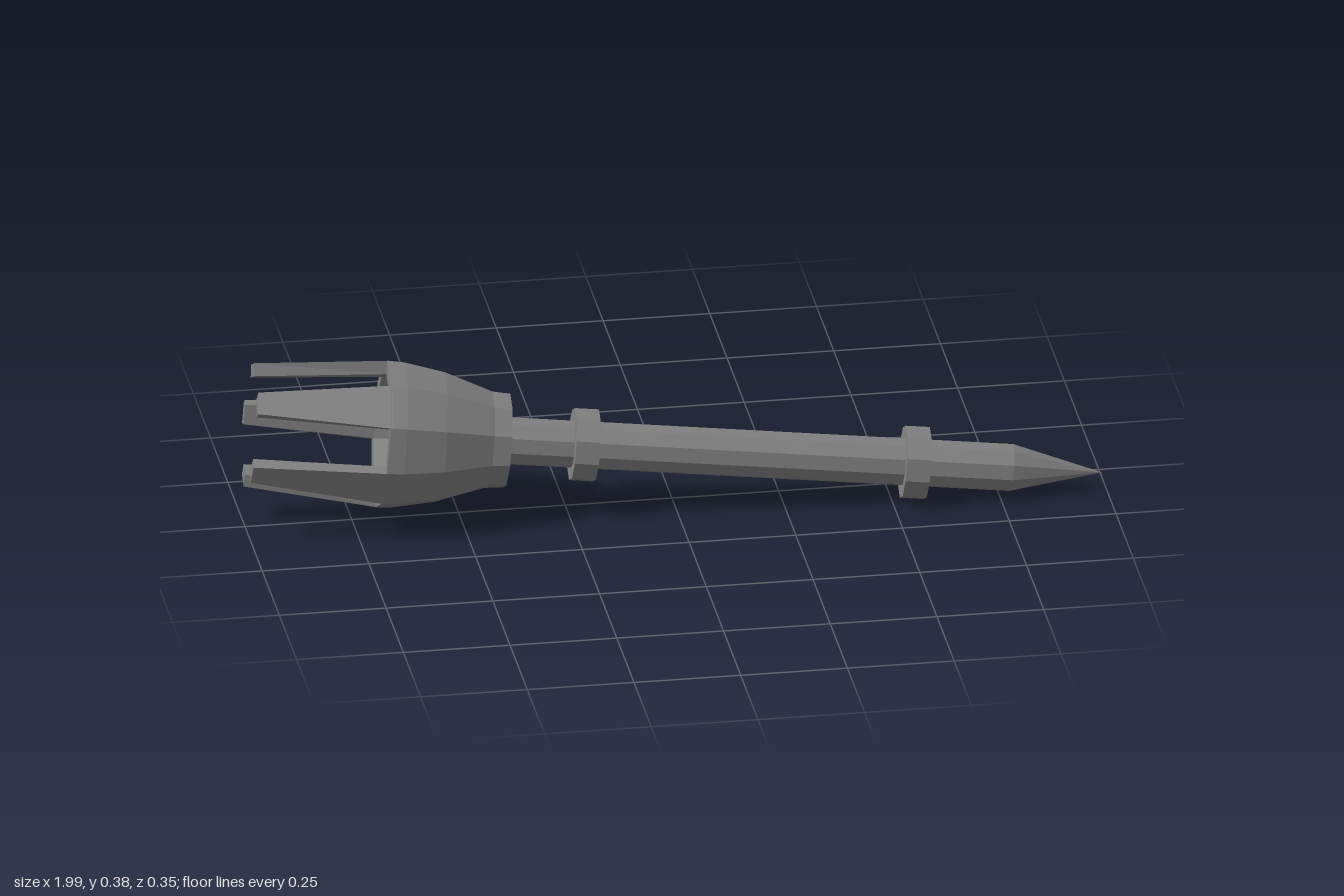
import * as THREE from 'three';

const SIDES = 10;
const STEP = (Math.PI * 2) / SIDES;
const PHASE = THREE.MathUtils.degToRad(-100); // where the first corner of each ring sits

export function createModel() {
  const model = new THREE.Group();
  model.name = 'clawScrewdriver';
  const metal = new THREE.MeshStandardMaterial({ color: 0x808080, flatShading: true });
  metal.name = 'grey metal';

  // Faceted turned part; points are [radius, position along the axis]
  const turned = (name, points) => {
    const profile = points.map(([r, y]) => new THREE.Vector2(r, y));
    const mesh = new THREE.Mesh(new THREE.LatheGeometry(profile, SIDES, PHASE), metal);
    mesh.name = name;
    model.add(mesh);
  };

  // Shaft with its pointed end
  turned('shaft', [[0, -0.46], [0.056, -0.46], [0.056, 0.785], [0, 0.997]]);

  // Raised bands around the shaft
  for (const [name, y] of [['rearBand', -0.212], ['frontBand', 0.56]]) {
    turned(name, [[0.05, y - 0.028], [0.086, y - 0.028], [0.086, y + 0.028], [0.05, y + 0.028]]);
  }

  // Hollow bulb: floor, inner wall, rim, outer wall, collar
  turned('bulb', [
    [0, -0.47], [0.085, -0.47], [0.125, -0.56], [0.143, -0.685],
    [0.175, -0.685], [0.173, -0.645], [0.155, -0.55], [0.115, -0.435], [0.112, -0.393], [0, -0.393],
  ]);

  // Five tapering claws on every other facet of the rim
  const apothem = Math.cos(STEP / 2), half = Math.sin(STEP / 2);
  const claw = new THREE.BoxGeometry(1, 1, 1);
  const pos = claw.attributes.position;
  for (let i = 0; i < pos.count; i++) {
    const base = pos.getY(i) > 0, outer = pos.getZ(i) > 0;
    const r = outer ? 0.175 : 0.143;
    const side = Math.sign(pos.getX(i));
    if (base) pos.setXYZ(i, side * r * half, -0.68, r * apothem);
    else pos.setXYZ(i, side * (outer ? 0.027 : 0.023), -0.992, outer ? 0.146 : 0.116);
  }
  claw.computeVertexNormals();
  for (let i = 0; i < 5; i++) {
    const mesh = new THREE.Mesh(claw, metal);
    mesh.name = 'claw' + (i + 1);
    mesh.rotation.y = PHASE + STEP * (2 * i - 0.5);
    model.add(mesh);
  }

  // Lay the axis down so the point leads towards +x, slightly low and forward
  const axis = new THREE.Vector3(1, -0.1, 0.069).normalize();
  const front = new THREE.Vector3(0, 0, 1).addScaledVector(axis, -axis.z).normalize();
  const down = new THREE.Vector3().crossVectors(axis, front);
  model.quaternion.setFromRotationMatrix(new THREE.Matrix4().makeBasis(down, axis, front));
  model.position.set(0, 0.143, 0.043);

  const root = new THREE.Group();
  root.name = 'clawTool';
  root.add(model);
  return root;
}
